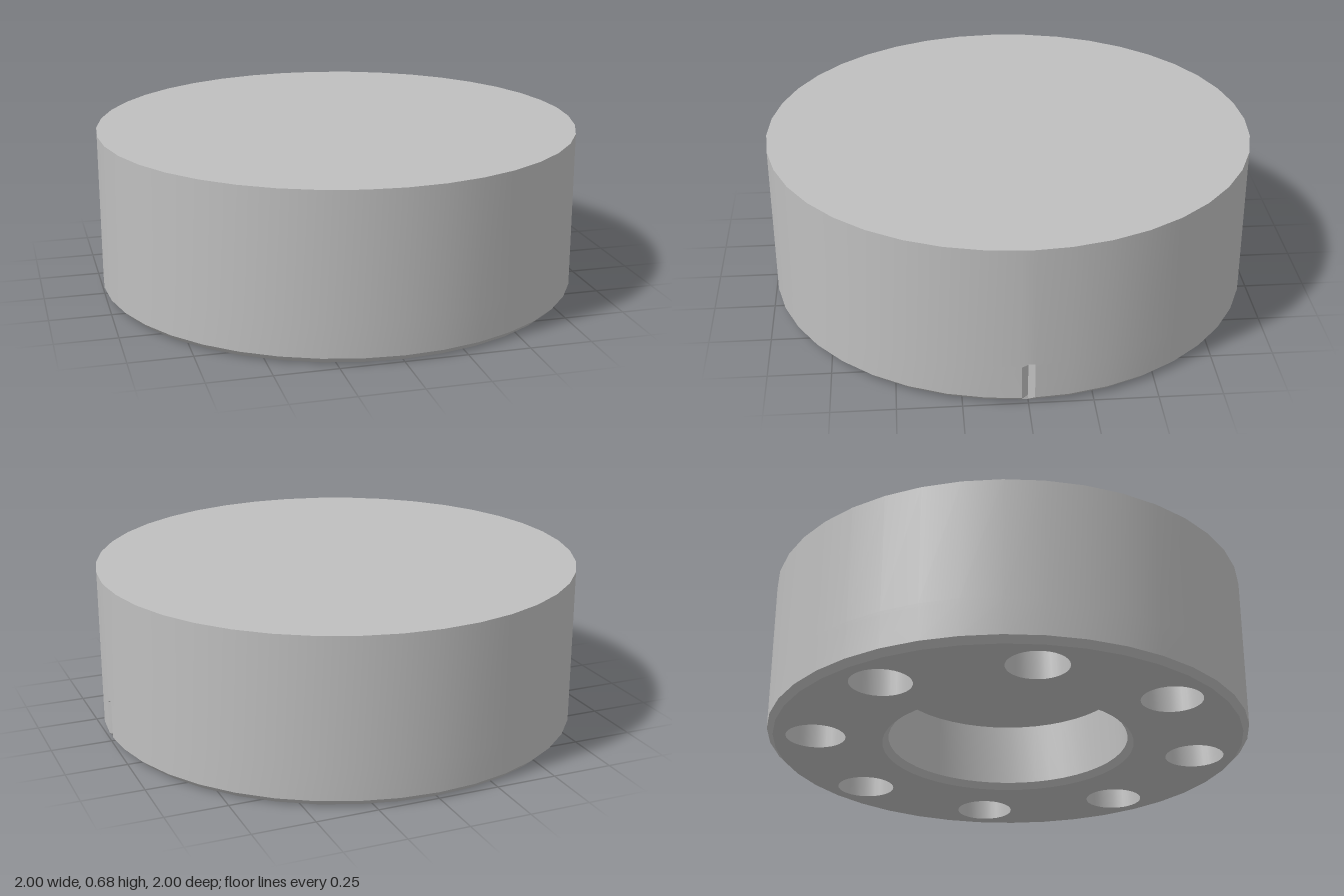
import * as THREE from 'three';
import { toCreasedNormals } from 'three/addons/utils/BufferGeometryUtils.js';

const HEIGHT = 0.675, FOOT = 0.975;
const BORE = 0.525, HOLE = 0.123, HOLE_CIRCLE = 0.8;

// Outline angles: an even ring, plus the two lips of the index notch at +x
const angles = [-0.025, 0, 0.025];
for (let i = 1; i < 40; i++) angles.push((i / 40) * Math.PI * 2);
angles.sort((a, b) => a - b);

const circle = (r, cx = 0, cy = 0, n = 48) => Array.from({ length: n }, (_, i) => {
  const a = (i / n) * Math.PI * 2;
  return new THREE.Vector2(cx + r * Math.cos(a), cy + r * Math.sin(a));
});

const outline = (r) => angles.map((a) => new THREE.Vector2(r * Math.cos(a), r * Math.sin(a)));

// Outer wall lofted from rings: [height, radius, radius in the notch valley]
function wallGeometry() {
  const rings = [[0, FOOT, FOOT], [0.005, 0.98, 0.98], [0.025, 1, 0.98],
    [0.165, 1, 0.98], [0.178, 1, 1], [HEIGHT, 1, 1]];
  const pos = [], index = [], n = angles.length;
  for (const [y, r, valley] of rings) {
    for (const a of angles) {
      const q = a === 0 ? valley : r;
      pos.push(q * Math.cos(a), y, q * Math.sin(a));
    }
  }
  for (let j = 0; j < rings.length - 1; j++) {
    for (let i = 0; i < n; i++) {
      const p = j * n + i, q = j * n + (i + 1) % n;
      index.push(p, p + n, q, q, p + n, q + n);
    }
  }
  const g = new THREE.BufferGeometry();
  g.setAttribute('position', new THREE.Float32BufferAttribute(pos, 3));
  g.setIndex(index);
  return toCreasedNormals(g, 0.5);
}

// Inward-facing pocket, profile from the ceiling centre down to the mouth
const pocket = (points, n = 48) => toCreasedNormals(
  new THREE.LatheGeometry(points.map(([x, y]) => new THREE.Vector2(x, y)), n), 0.5);

export function createModel() {
  const model = new THREE.Group();
  const steel = new THREE.MeshStandardMaterial({ color: 0xbfbfbf });
  steel.name = 'grey steel';

  const add = (name, geometry) => {
    const mesh = new THREE.Mesh(geometry, steel);
    mesh.name = name;
    model.add(mesh);
    return mesh;
  };

  add('outerWall', wallGeometry());

  const top = add('topFace', new THREE.ShapeGeometry(new THREE.Shape(outline(1))));
  top.rotation.x = -Math.PI / 2;
  top.position.y = HEIGHT;

  // Underside with the bore and eight bolt holes cut out
  const under = new THREE.Shape(outline(FOOT));
  under.holes.push(new THREE.Path(circle(BORE)));
  const holePocket = pocket([[0, 0.3], [HOLE, 0.3], [HOLE, 0]], 32);
  for (let i = 0; i < 8; i++) {
    const a = (i / 8) * Math.PI * 2;
    const x = HOLE_CIRCLE * Math.cos(a), z = HOLE_CIRCLE * Math.sin(a);
    under.holes.push(new THREE.Path(circle(HOLE, x, z, 32)));
    add('boltHole' + (i + 1), holePocket).position.set(x, 0, z);
  }
  add('underside', new THREE.ShapeGeometry(under)).rotation.x = Math.PI / 2;

  // Blind centre bore with a chamfered mouth
  add('centreBore', pocket([[0, 0.295], [0.5, 0.295], [0.5, 0.025], [BORE, 0]]));

  return model;
}
